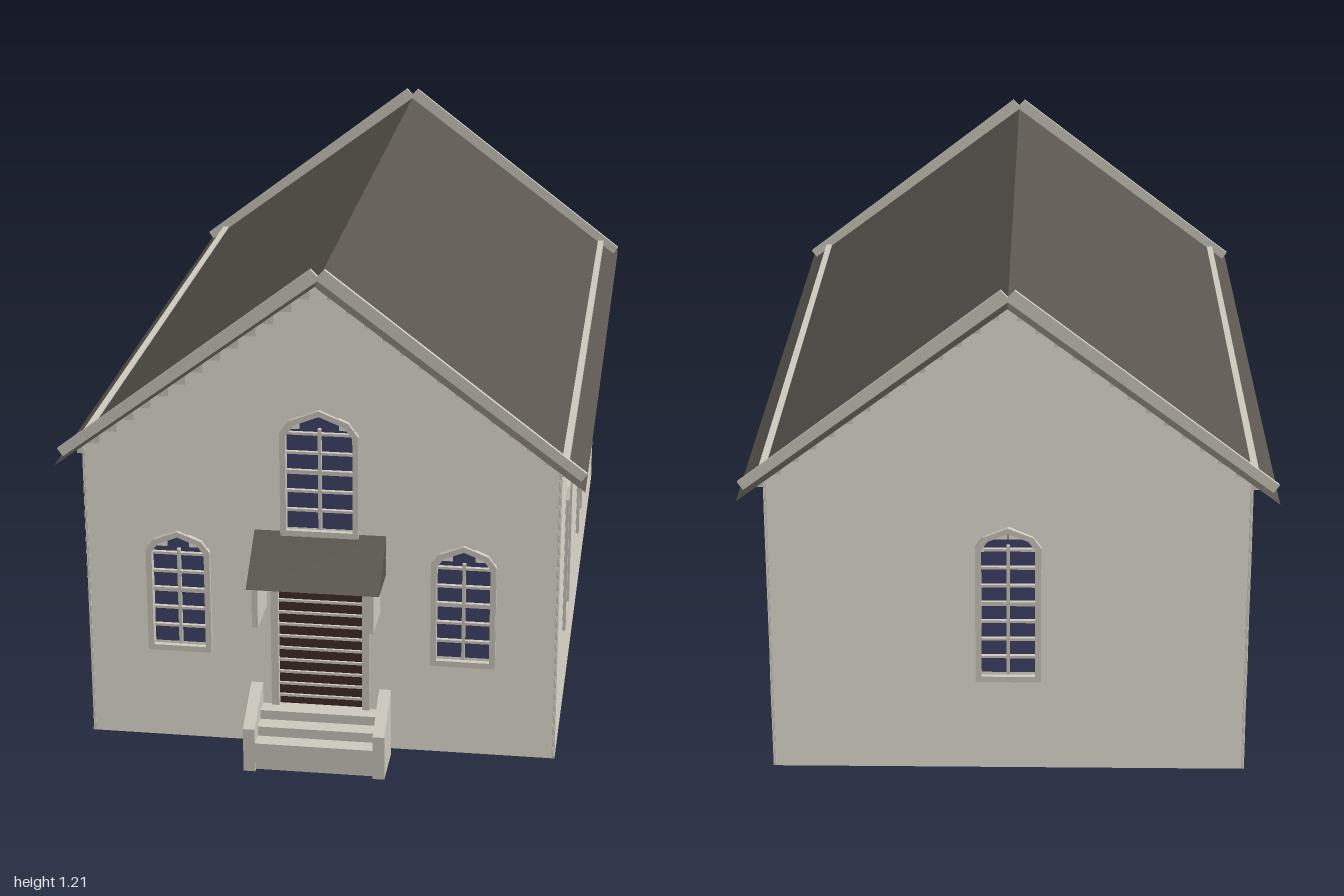
import * as THREE from 'three';
import { mergeGeometries } from 'three/addons/utils/BufferGeometryUtils.js';

const mat = (name, color, side = THREE.FrontSide) =>
  Object.assign(new THREE.MeshStandardMaterial({ color, side }), { name });

// Main dimensions
const BASE = 0.02, RIDGE = 1.185, SLOPE = 0.748, HALF_X = 0.553, FRONT = 0.873, BACK = -0.933;
const BOARD = 0.031, LIP = 0.007, THICK = 0.03;
const roofY = x => RIDGE - SLOPE * Math.abs(x);

export function createModel() {
  const paint = mat('cream paint', 0xcdc9bd);
  const roofMat = mat('roof shingle', 0x5a554e, THREE.DoubleSide);
  const glassMat = mat('blue glass', 0x40436a, THREE.DoubleSide);
  const doorMat = mat('brown door', 0x402c23);

  const model = new THREE.Group();
  model.name = 'chapel';

  const add = (parent, name, geo, material) => {
    const m = new THREE.Mesh(geo, material);
    m.name = name;
    parent.add(m);
    return m;
  };
  // Box from its minimum and maximum corners
  const span = (x0, x1, y0, y1, z0, z1) =>
    new THREE.BoxGeometry(x1 - x0, y1 - y0, z1 - z0)
      .translate((x0 + x1) / 2, (y0 + y1) / 2, (z0 + z1) / 2);
  const poly = pts => new THREE.Shape(pts.map(p => new THREE.Vector2(p[0], p[1])));

  // Opening outline: a rectangle for the door, a faceted arch for windows
  const outline = (o, g = 0) => {
    const w = o.w + g, b = o.b - g, t = o.t + g, x = o.x;
    if (o.door) return poly([[x - w, b], [x + w, b], [x + w, t], [x - w, t]]);
    return poly([[x - w, b], [x + w, b], [x + w, t - 0.65 * w], [x + 0.75 * w, t - 0.3 * w],
      [x, t], [x - 0.75 * w, t - 0.3 * w], [x - w, t - 0.65 * w]]);
  };
  // Half width of an opening at height y
  const halfAt = (o, y) => {
    if (y < o.b || y > o.t) return 0;
    const k = (o.t - y) / o.w;
    if (o.door || k > 0.65) return o.w;
    return o.w * (k < 0.3 ? 0.75 * k / 0.3 : 0.75 + 0.25 * (k - 0.3) / 0.35);
  };

  // Overlapping clapboards, interrupted at the openings
  function siding(top, halfWidth, openings) {
    const parts = [];
    for (let y = BASE; y < top - 0.01; y += BOARD) {
      const h = Math.min(BOARD, top - y), W = halfWidth(y + h);
      const cuts = openings.map(o => [o.x, halfAt(o, y + h / 2)]).filter(c => c[1] > 0)
        .sort((a, b) => a[0] - b[0]);
      let x = -W;
      for (const [cx, hw] of [...cuts, [W, 0]]) {
        const end = cx - hw;
        if (end - x > 0.002) {
          const g = new THREE.ExtrudeGeometry(poly([[0, 0], [0, h], [-LIP, 0]]),
            { depth: end - x, bevelEnabled: false });
          parts.push(g.rotateY(Math.PI / 2).translate(x, y, 0));
        }
        x = cx + hw;
      }
    }
    return mergeGeometries(parts);
  }

  // Window with raised surround, recessed glass and glazing bars
  function addWindow(parent, o) {
    const ring = outline(o, 0.014);
    ring.holes.push(outline(o));
    add(parent, 'windowFrame',
      new THREE.ExtrudeGeometry(ring, { depth: 0.014, bevelEnabled: false }), paint);
    add(parent, 'windowGlass', new THREE.ShapeGeometry(outline(o)).translate(0, 0, -0.008), glassMat);
    const bars = [span(o.x - 0.004, o.x + 0.004, o.b, o.t - 0.035, -0.008, 0.002)];
    const rows = Math.round((o.t - o.b) / 0.047);
    for (let i = 1; i < rows; i++) {
      const y = o.b + (o.t - o.b) * i / rows, w = halfAt(o, y);
      const t = i === Math.ceil(rows / 2) ? 0.005 : 0.003;
      bars.push(span(o.x - w, o.x + w, y - t, y + t, -0.008, 0.002));
    }
    add(parent, 'windowBars', mergeGeometries(bars), paint);
  }

  // Door with raised slats and casing
  function addDoor(parent, o) {
    add(parent, 'door', span(-o.w, o.w, o.b, o.t, -0.02, -0.002), doorMat);
    const slats = [];
    for (let y = o.b + 0.02; y < o.t - 0.01; y += BOARD)
      slats.push(span(-o.w, o.w, y, y + 0.006, -0.004, 0.004));
    add(parent, 'doorSlats', mergeGeometries(slats), paint);
    add(parent, 'doorCasing', mergeGeometries([
      span(-0.118, -o.w, o.b, 0.47, 0, 0.013), span(o.w, 0.118, o.b, 0.47, 0, 0.013),
      span(-o.w, o.w, o.t, 0.47, 0, 0.011)]), paint);
  }

  // A whole wall in its own frame, facing +z
  function addWall(name, shape, top, halfWidth, openings) {
    const wall = new THREE.Group();
    wall.name = name;
    openings.forEach(o => shape.holes.push(outline(o)));
    add(wall, 'wallPanel', new THREE.ExtrudeGeometry(shape, { depth: THICK, bevelEnabled: false })
      .translate(0, 0, -THICK), paint);
    add(wall, 'clapboards', siding(top, halfWidth, openings), paint);
    openings.forEach(o => (o.door ? addDoor : addWindow)(wall, o));
    model.add(wall);
    return wall;
  }

  // Gable walls
  const gable = () => poly([[-HALF_X, BASE], [HALF_X, BASE], [HALF_X, roofY(HALF_X) - 0.004],
    [0, RIDGE - 0.004], [-HALF_X, roofY(HALF_X) - 0.004]]);
  const gableHalf = y => Math.min(HALF_X + LIP, (RIDGE - 0.003 - y) / SLOPE);
  const tall = x => ({ x, w: 0.0625, b: 0.262, t: 0.625 });
  addWall('frontWall', gable(), RIDGE - 0.01, gableHalf, [
    { x: 0, w: 0.1, b: 0.12, t: 0.43, door: true },
    { x: 0, w: 0.078, b: 0.575, t: 0.86 },
    { x: -0.338, w: 0.0625, b: 0.262, t: 0.542 },
    { x: 0.338, w: 0.0625, b: 0.262, t: 0.542 },
  ]).position.z = FRONT;
  const back = addWall('backWall', gable(), RIDGE - 0.01, gableHalf, [tall(0)]);
  back.rotation.y = Math.PI;
  back.position.z = BACK;

  // Long side walls
  const mid = (FRONT + BACK) / 2, len = (FRONT - BACK) / 2;
  for (const s of [-1, 1]) {
    const wall = addWall(s > 0 ? 'leftWall' : 'rightWall',
      poly([[-len, BASE], [len, BASE], [len, 0.762], [-len, 0.762]]), 0.755, () => len + LIP,
      [-0.605, 0, 0.605].map(tall));
    wall.rotation.y = s * Math.PI / 2;
    wall.position.set(s * HALF_X, 0, mid);
  }

  // Thin roof sheets, rake boards and eave boards
  const roof = new THREE.Group();
  roof.name = 'roof';
  model.add(roof);
  const E = 0.615;
  for (const s of [-1, 1]) {
    const sheet = new THREE.PlaneGeometry(Math.hypot(E, E * SLOPE), 1.93).rotateX(-Math.PI / 2)
      .rotateZ(-s * Math.atan(SLOPE)).translate(s * E / 2, roofY(E / 2), -0.035);
    add(roof, 'roofSlope', sheet, roofMat);
    for (const z of [0.878, -0.952]) {
      const rake = poly([[0, RIDGE], [s * 0.602, roofY(0.602) - 0.004],
        [s * 0.617, 0.752], [s * 0.016, 1.212], [0, 1.195]]);
      add(roof, 'rakeBoard', new THREE.ExtrudeGeometry(rake, { depth: 0.01, bevelEnabled: false })
        .translate(0, 0, z), paint);
    }
    add(roof, 'eaveBoard', span(s * 0.565 - 0.008, s * 0.565 + 0.008, 0.738, 0.772, -0.945, 0.875), paint);
  }

  // Extrude a (z, y) side profile across x
  const across = (pts, x0, x1) => new THREE.ExtrudeGeometry(poly(pts.map(([z, y]) => [-z, y])),
    { depth: x1 - x0, bevelEnabled: false }).rotateY(Math.PI / 2).translate(x0, 0, 0);

  // Door hood on two brackets
  const porch = new THREE.Group();
  porch.name = 'porch';
  model.add(porch);
  add(porch, 'doorHood', across([[FRONT, 0.47], [1, 0.47], [FRONT, 0.57]], -0.155, 0.155), roofMat);
  for (const s of [-1, 1]) {
    add(porch, 'hoodBracket', span(s * 0.135 - 0.007, s * 0.135 + 0.007, 0.375, 0.47, FRONT, 0.998), paint);
    // Sloping stair cheeks
    const x = s * 0.154;
    add(porch, 'stairCheek',
      across([[FRONT, 0], [1, 0], [1, 0.11], [FRONT, 0.178]], x - 0.014, x + 0.014), paint);
  }
  // Hollow stairs: treads with risers
  [[1.0, 0.073, 0.01], [0.96, 0.097, 0.073], [0.92, 0.12, 0.097]].forEach(([z, top, low]) => {
    add(porch, 'stairTread', span(-0.14, 0.14, top - 0.012, top, z - 0.047, z - 0.002), paint);
    add(porch, 'stairRiser', span(-0.14, 0.14, low - 0.004, top - 0.012, z - 0.012, z - 0.002), paint);
  });

  return model;
}
